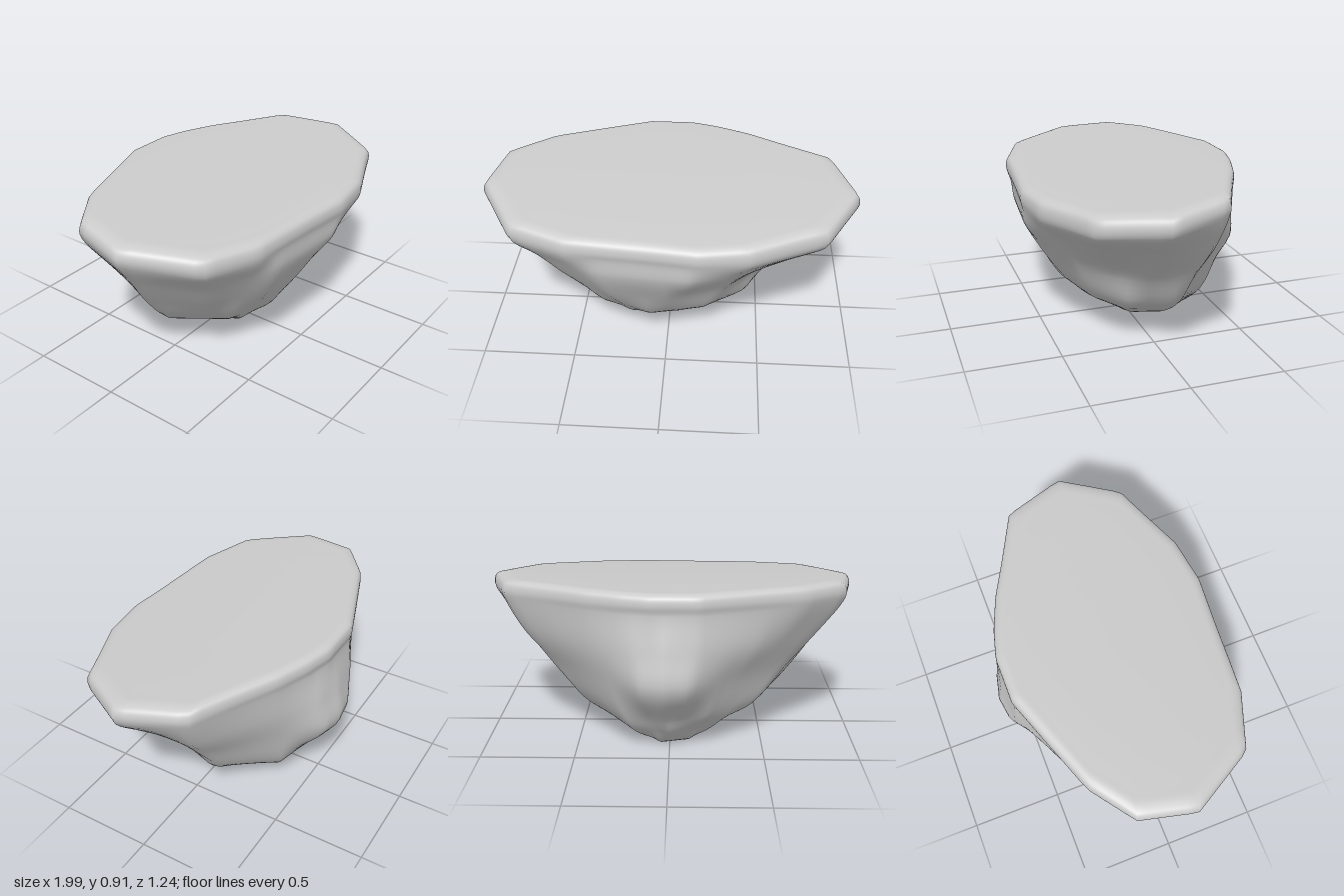
import * as THREE from 'three';

// Horizontal outlines as [x, z] corners, from the foot up to the rim
const RIM = [[-1, 0.1], [-0.93, -0.2], [-0.7, -0.37], [-0.4, -0.48], [-0.15, -0.57], [0.1, -0.57], [0.25, -0.53],
  [0.43, -0.46], [0.6, -0.37], [0.88, -0.23], [1, 0.1], [0.82, 0.41], [0.65, 0.48], [0.42, 0.58], [0.17, 0.615],
  [-0.1, 0.59], [-0.5, 0.56], [-0.8, 0.45]];
const SECTIONS = [
  { y: 0, cz: -0.12, pts: [[-0.16, -0.1], [-0.1, -0.26], [0.05, -0.3], [0.13, -0.15], [0.1, -0.02], [-0.1, 0]] },
  { y: 0.1, cz: -0.1, pts: [[-0.34, -0.05], [-0.25, -0.28], [0, -0.4], [0.2, -0.35], [0.35, -0.12], [0.28, 0.08],
    [0.05, 0.2], [-0.2, 0.22]] },
  { y: 0.2, cz: -0.08, pts: [[-0.54, 0], [-0.45, -0.22], [-0.2, -0.4], [0.03, -0.47], [0.25, -0.4], [0.5, -0.12],
    [0.42, 0.12], [0.2, 0.28], [-0.1, 0.35], [-0.35, 0.26]] },
  { y: 0.41, cz: -0.05, pts: [[-0.73, 0.03], [-0.62, -0.2], [-0.3, -0.43], [-0.1, -0.6], [0.03, -0.62], [0.15, -0.59],
    [0.3, -0.45], [0.65, -0.15], [0.59, 0.08], [0.3, 0.38], [0, 0.48], [-0.3, 0.46], [-0.56, 0.3]] },
  { y: 0.6, cz: -0.02, pts: [[-0.87, 0.08], [-0.78, -0.2], [-0.45, -0.43], [-0.15, -0.58], [0.03, -0.6], [0.18, -0.57],
    [0.4, -0.44], [0.78, -0.2], [0.81, 0.08], [0.66, 0.33], [0.35, 0.51], [0.12, 0.59], [-0.35, 0.55], [-0.68, 0.39]] },
];

// Gently curved top that slopes down to the front
const topY = (z) => 0.876 - 0.08 * z - 0.04 * z * z;

// Distance from (0, cz) to an outline along direction a
function reach(pts, cz, a) {
  const dx = Math.cos(a), dz = Math.sin(a);
  let best = 0;
  pts.forEach(([x0, z0], i) => {
    const [x1, z1] = pts[(i + 1) % pts.length];
    const ex = x1 - x0, ez = z1 - z0, det = dx * ez - dz * ex;
    if (Math.abs(det) < 1e-9) return;
    const s = (x0 * dz - (z0 - cz) * dx) / det;
    const r = (x0 * ez - (z0 - cz) * ex) / det;
    if (s >= -1e-6 && s <= 1 + 1e-6) best = Math.max(best, r);
  });
  return best;
}

// One rib of the rock: foot centre, up the side, over the rim, to the top centre
function rib(a, steps) {
  const at = (r, cz, y) => new THREE.Vector3(Math.cos(a) * r, y, Math.sin(a) * r + cz);
  const points = [at(0, -0.12, 0)];
  for (const { y, cz, pts } of SECTIONS) points.push(at(reach(pts, cz, a), cz, y));
  const r = reach(RIM, 0, a);
  for (const [scale, drop] of [[0.985, 0.11], [1, 0.06], [0.985, 0.02], [0.94, 0.003], [0.85, 0], [0.4, 0], [0, 0]]) {
    const p = at(r * scale, 0, 0);
    p.y = topY(p.z) - drop;
    points.push(p);
  }
  const curve = new THREE.CatmullRomCurve3(points, false, 'centripetal');
  return curve.getPoints((points.length - 1) * steps);
}

export function createModel() {
  const around = 120, position = [], index = [];
  let n = 0;
  for (let i = 0; i < around; i++) {
    const points = rib((i / around) * Math.PI * 2, 5);
    n = points.length;
    for (const p of points) position.push(p.x, Math.max(0, p.y), p.z);
  }
  // Skin between neighbouring ribs
  for (let i = 0; i < around; i++) {
    const next = (i + 1) % around;
    for (let j = 0; j < n - 1; j++) {
      const a = i * n + j, b = next * n + j;
      index.push(a, a + 1, b, b, a + 1, b + 1);
    }
  }
  const geometry = new THREE.BufferGeometry();
  geometry.setAttribute('position', new THREE.Float32BufferAttribute(position, 3));
  geometry.setIndex(index);
  geometry.computeVertexNormals();

  const rock = new THREE.Mesh(geometry, new THREE.MeshStandardMaterial({ color: 0xcccccc }));
  rock.name = 'flatToppedRock';
  const group = new THREE.Group();
  group.name = 'rock';
  group.add(rock);
  return group;
}
